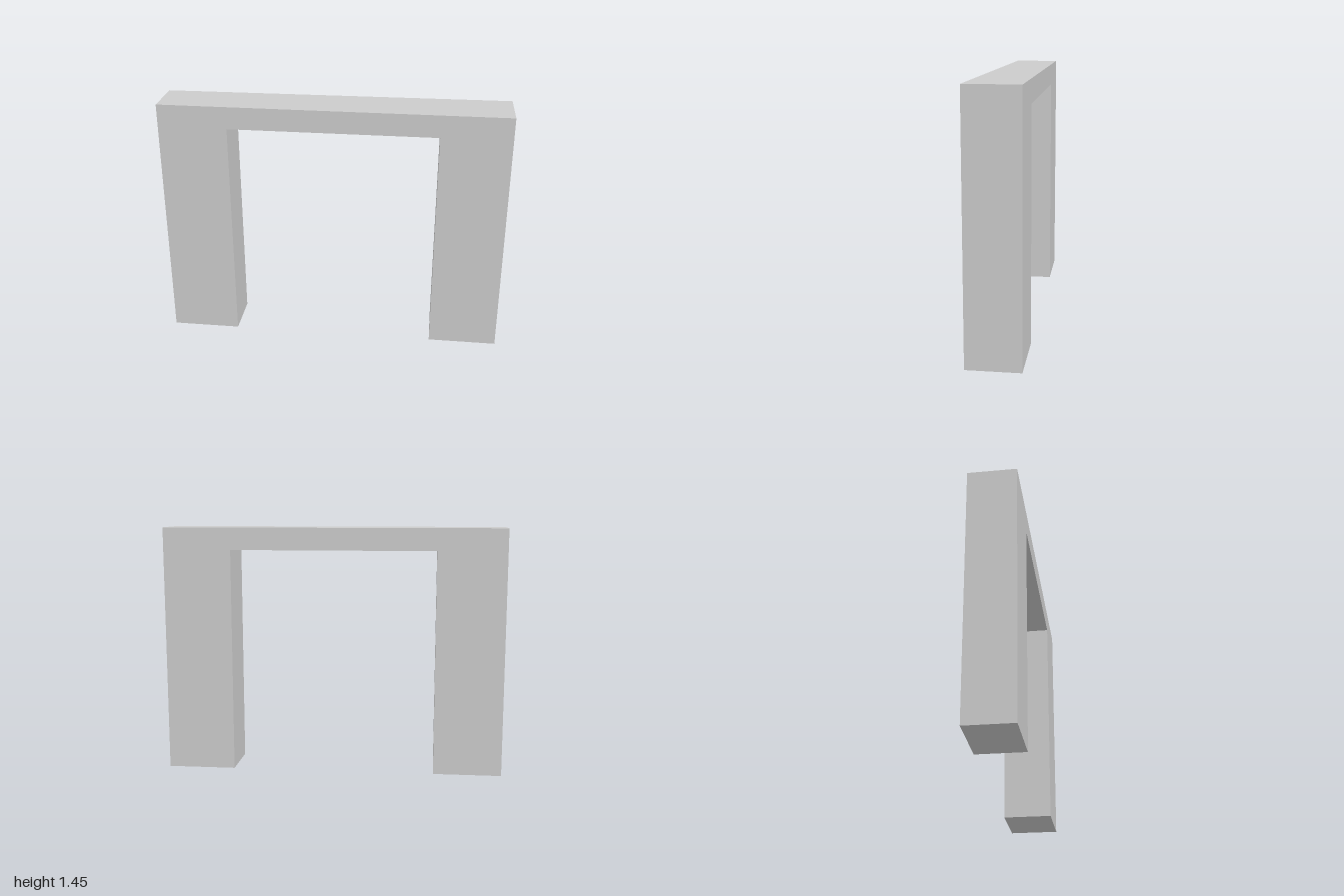
import * as THREE from 'three';

export function createModel() {
  const group = new THREE.Group();
  const halfWidth = 1, height = 1.45, openingHalf = 0.6, openingTop = 1.32;
  const front = 0.15, backRight = -0.12, backLeft = -0.15;

  // Doorway outline: two legs joined by a thin lintel
  const outline = new THREE.Shape([
    [-halfWidth, 0], [-openingHalf, 0], [-openingHalf, openingTop],
    [openingHalf, openingTop], [openingHalf, 0], [halfWidth, 0],
    [halfWidth, height], [-halfWidth, height],
  ].map(([x, y]) => new THREE.Vector2(x, y)));
  const geometry = new THREE.ExtrudeGeometry(outline, { depth: 1, bevelEnabled: false });

  // Flat front; the back slants so the frame is thicker toward +x
  const pos = geometry.attributes.position;
  for (let i = 0; i < pos.count; i++) {
    const t = (pos.getX(i) + halfWidth) / (2 * halfWidth);
    const back = THREE.MathUtils.lerp(backRight, backLeft, t);
    pos.setZ(i, THREE.MathUtils.lerp(back, front, pos.getZ(i)));
  }
  geometry.computeVertexNormals();

  const frame = new THREE.Mesh(
    geometry,
    new THREE.MeshStandardMaterial({ color: 0xcccccc, flatShading: true }),
  );
  frame.name = 'doorwayFrame';
  group.add(frame);
  return group;
}
